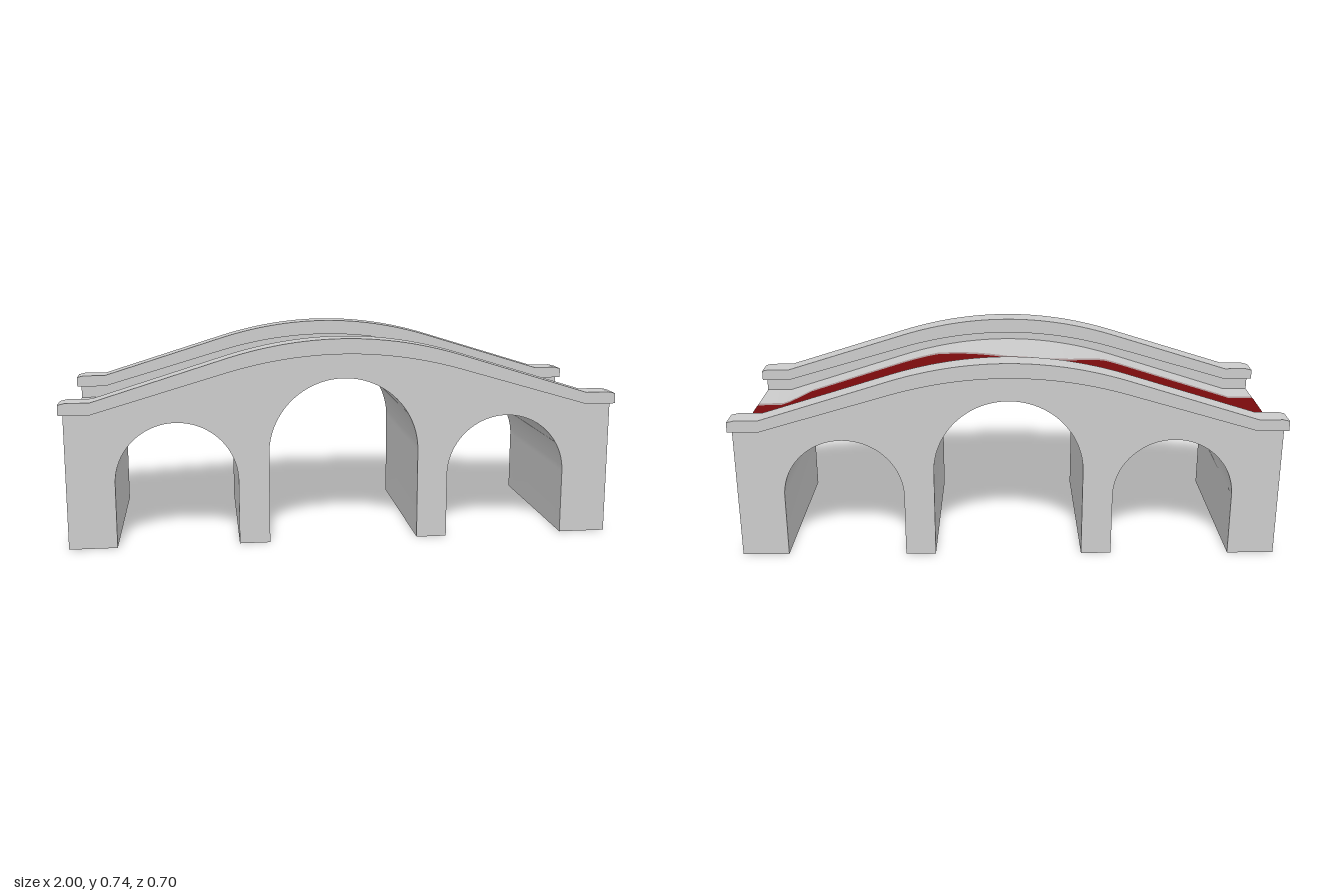
import * as THREE from 'three';
import { toCreasedNormals } from 'three/addons/utils/BufferGeometryUtils.js';

const BODY_X = 0.985;
const grey = new THREE.MeshStandardMaterial({ color: 0xcccccc });
const RED = new THREE.Color(0x780a0c);

// Height fraction of the hump: flat ends, straight ramps, parabolic crown.
function hump(x) {
  const a = Math.abs(x), end = 0.89, crown = 0.425;
  const slope = 1 / (end - crown / 2);
  if (a >= end) return 0;
  return a > crown ? slope * (end - a) : 1 - (slope * a * a) / (2 * crown);
}
const capTop = (x) => 0.53 + 0.21 * hump(x) - (Math.abs(x) > 0.98 ? 0.006 : 0);
const capBottom = (x) => 0.487 + 0.198 * hump(x);
const deck = (x) => 0.44 + 0.215 * hump(x);

// Points of a curve y = f(x), including the corners where the ramps start.
function samples(halfLength) {
  const xs = [-halfLength];
  for (let i = -32; i <= 32; i++) xs.push((i / 32) * 0.89);
  xs.push(halfLength);
  return xs;
}

function extrude(name, shape, z0, z1) {
  let g = new THREE.ExtrudeGeometry(shape, { depth: z1 - z0, bevelEnabled: false, curveSegments: 32 });
  g.translate(0, 0, z0);
  g = toCreasedNormals(g, 0.4);
  const mesh = new THREE.Mesh(g, grey);
  mesh.name = name;
  return mesh;
}

// Outline with three arches cut from below and a curved top.
function archedShape(top) {
  const s = new THREE.Shape();
  s.moveTo(-BODY_X, 0);
  for (const [cx, r, crown] of [[-0.5975, 0.2175, 0.45], [0, 0.27, 0.597], [0.5975, 0.2175, 0.45]]) {
    s.lineTo(cx - r, 0);
    s.lineTo(cx - r, crown - r);
    s.absarc(cx, crown - r, r, Math.PI, 0, true);
    s.lineTo(cx + r, 0);
  }
  s.lineTo(BODY_X, 0);
  for (const x of samples(BODY_X).reverse()) s.lineTo(x, top(x));
  return s;
}

function capShape() {
  const xs = samples(1);
  const s = new THREE.Shape();
  xs.forEach((x, i) => (i ? s.lineTo(x, capBottom(x)) : s.moveTo(x, capBottom(x))));
  s.lineTo(1, capTop(1));
  s.lineTo(0.975, capTop(0.975));
  for (const x of xs.slice(1, -1).reverse()) s.lineTo(x, capTop(x));
  s.lineTo(-0.975, capTop(-0.975));
  s.lineTo(-1, capTop(-1));
  return s;
}

// Ribbon through pairs of points, one pair per cross-section.
function ribbon(name, pairs, color) {
  const g = new THREE.BufferGeometry(), index = [];
  for (let i = 0; i < pairs.length - 1; i++) {
    const a = 2 * i;
    index.push(a, a + 1, a + 2, a + 1, a + 3, a + 2);
  }
  g.setAttribute('position', new THREE.Float32BufferAttribute(pairs.flat(2), 3));
  g.setIndex(index);
  g.computeVertexNormals();
  const mesh = new THREE.Mesh(g, new THREE.MeshStandardMaterial({ color }));
  mesh.name = name;
  return mesh;
}

// Edges of the red path along the road: x, back z, front z.
const PATH = [
  [-0.985, -0.16, 0.155], [-0.9, -0.16, 0.155], [-0.77, -0.09, 0.155], [-0.45, -0.08, 0.155],
  [-0.38, -0.16, 0.15], [-0.32, -0.16, 0.1], [-0.24, -0.16, 0.04], [-0.15, -0.16, 0],
  [0, -0.16, 0.01], [0.15, -0.16, 0.09], [0.28, -0.08, 0.155], [0.36, -0.01, 0.155],
  [0.45, -0.02, 0.155], [0.53, -0.14, 0.155], [0.78, -0.16, 0.15], [0.86, -0.16, 0.09],
  [0.985, -0.16, 0.08],
];
function pathEdges(x) {
  const i = Math.max(1, PATH.findIndex((p) => p[0] >= x));
  const [a, b] = [PATH[i - 1], PATH[i]];
  const t = (x - a[0]) / (b[0] - a[0]);
  return [THREE.MathUtils.lerp(a[1], b[1], t), THREE.MathUtils.lerp(a[2], b[2], t)];
}

export function createModel() {
  const model = new THREE.Group();
  model.name = 'archedBridge';

  // Masonry: low middle under the road, higher walls at both sides
  model.add(extrude('roadBody', archedShape(deck), -0.28, 0.28));
  const wall = archedShape(capBottom), cap = capShape();
  model.add(extrude('leftwardFrontWall', wall, 0.28, 0.337), extrude('backWall', wall, -0.337, -0.28));
  model.children[1].name = 'frontWall';

  // Coping along the top of each wall
  model.add(extrude('frontCoping', cap, 0.265, 0.35), extrude('backCoping', cap, -0.35, -0.265));

  // Red path on the road, with a paler soft edge just below it
  const soft = new THREE.Color(0xcccccc).lerp(RED, 0.5);
  for (const [name, grow, lift, color] of [['pathSoftEdge', 0.02, 0.001, soft], ['redPath', -0.005, 0.002, RED]]) {
    const pairs = samples(BODY_X).map((x) => {
      const [back, front] = pathEdges(x), y = deck(x) + lift;
      return [[x, y, back - grow], [x, y, front + grow]];
    });
    model.add(ribbon(name, pairs, color));
  }

  // The path runs down both end faces and fades towards the ground
  const bands = 10;
  for (const [side, name, top, foot, fade] of [
    [1, 'leftEndPath', [-0.175, 0.09], [-0.19, 0.045], 1],
    [-1, 'rightEndPath', [-0.165, 0.16], [-0.21, 0.09], 0.6],
  ]) {
    const group = new THREE.Group();
    group.name = name;
    const row = (t) => {
      const x = side * (BODY_X + 0.001), y = 0.44 * (1 - t);
      const pair = [0, 1].map((k) => [x, y, THREE.MathUtils.lerp(top[k], foot[k], t)]);
      return side > 0 ? pair : pair.reverse();
    };
    for (let i = 0; i < bands; i++) {
      const color = RED.clone().lerp(grey.color, fade * ((i + 0.5) / bands));
      group.add(ribbon('fadeBand', [row(i / bands), row((i + 1) / bands)].reverse().map((p) => p.slice().reverse()), color));
    }
    model.add(group);
  }
  return model;
}
